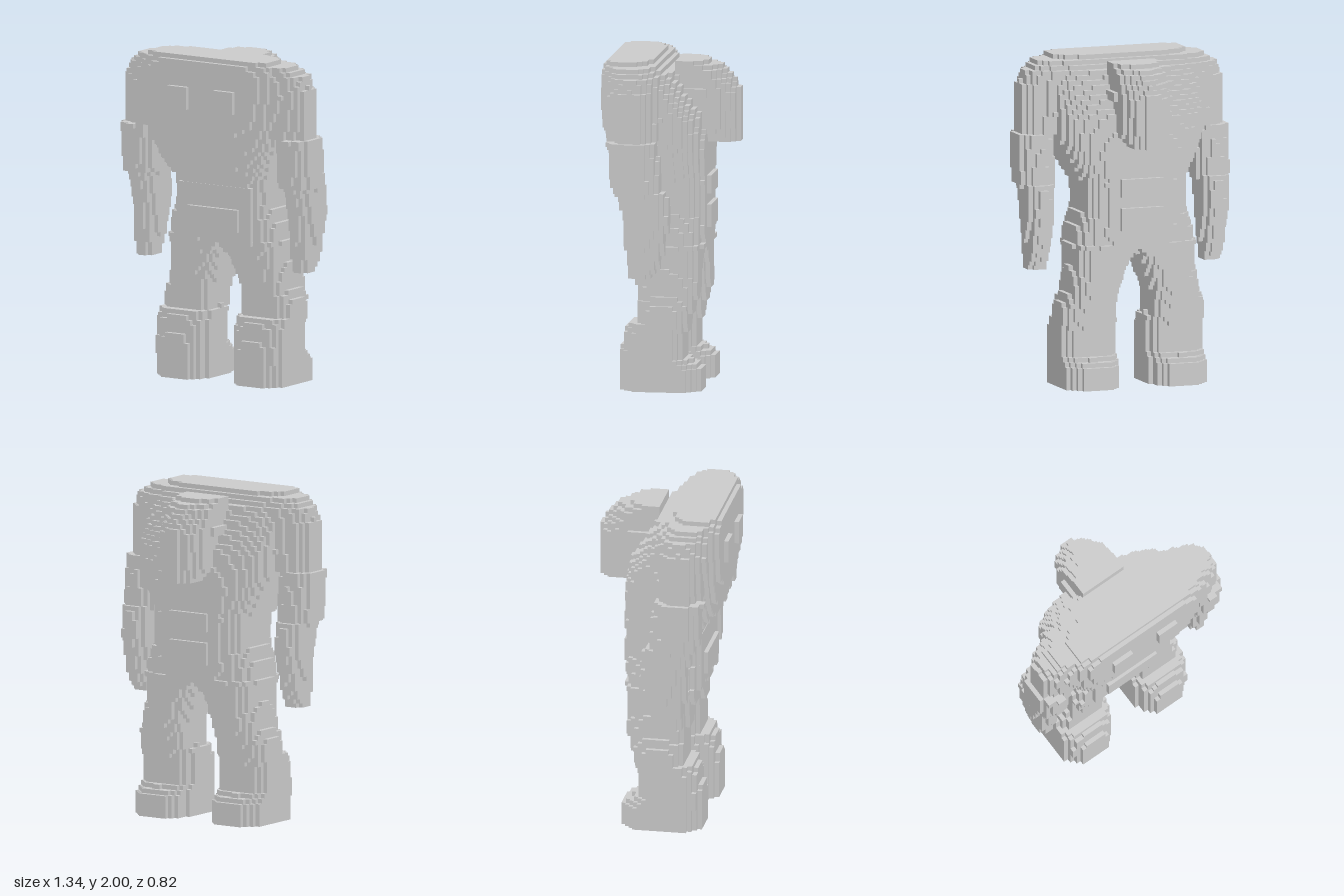
import * as THREE from 'three';

// Cube edge of the blocky style
const U = 2 / 73;
const { lerp, clamp } = THREE.MathUtils;

// Cross-section [y, half width, back z, front z] of a stack of rows at height y
function sectionAt(rows, y) {
  const i = rows.findIndex((row) => row[0] >= y);
  if (i < 1) return null;
  const [a, b] = [rows[i - 1], rows[i]];
  return a.map((v, k) => lerp(v, b[k], (y - a[0]) / (b[0] - a[0])));
}

// Solid with rounded sections, front and back rounded separately:
// 2 is an ellipse, higher is squarer
function solid(rows, frontRoundness, backRoundness, centreX = () => 0) {
  return (x, y, z) => {
    const s = sectionAt(rows, y);
    if (!s) return false;
    const [, half, back, front] = s;
    const dx = Math.abs(x - centreX(y)) / half;
    const dz = (2 * z - back - front) / (front - back);
    const roundness = dz > 0 ? frontRoundness : backRoundness;
    return dx ** roundness + Math.abs(dz) ** roundness <= 1;
  };
}

const key = (cell) => cell.join();

// Claims the free grid cubes that lie inside a solid
function fillCells(inside, filled) {
  const cells = [];
  for (let i = -24; i <= 24; i++) {
    for (let j = 0; j < 73; j++) {
      for (let k = -15; k < 15; k++) {
        const cell = [i, j, k];
        if (filled.has(key(cell)) || !inside(i * U, (j + 0.5) * U, (k + 0.5) * U)) continue;
        filled.add(key(cell));
        cells.push(cell);
      }
    }
  }
  return cells;
}

// Outer faces of a set of cubes
function cubeGeometry(cells, filled) {
  const position = [], normal = [];
  for (const cell of cells) {
    const centre = [cell[0] * U, (cell[1] + 0.5) * U, (cell[2] + 0.5) * U];
    for (let axis = 0; axis < 3; axis++) {
      for (const sign of [-1, 1]) {
        const next = [...cell];
        next[axis] += sign;
        if (filled.has(key(next))) continue;
        let a = (axis + 1) % 3, b = (axis + 2) % 3;
        if (sign < 0) [a, b] = [b, a];
        for (const [i, j] of [[-1, -1], [1, -1], [1, 1], [-1, -1], [1, 1], [-1, 1]]) {
          const v = [...centre], n = [0, 0, 0];
          v[axis] += sign * U / 2;
          v[a] += i * U / 2;
          v[b] += j * U / 2;
          n[axis] = sign;
          position.push(...v);
          normal.push(...n);
        }
      }
    }
  }
  const geometry = new THREE.BufferGeometry();
  geometry.setAttribute('position', new THREE.Float32BufferAttribute(position, 3));
  geometry.setAttribute('normal', new THREE.Float32BufferAttribute(normal, 3));
  return geometry;
}

export function createModel() {
  const group = new THREE.Group();
  const material = new THREE.MeshStandardMaterial({ color: 0xcccccc });
  const filled = new Set();
  const pieces = [];

  const addMesh = (name, geometry) => {
    const mesh = new THREE.Mesh(geometry, material);
    mesh.name = name;
    group.add(mesh);
    return mesh;
  };
  const addPart = (name, inside) => pieces.push({ name, cells: fillCells(inside, filled) });
  const addPair = (name, inside) => {
    addPart('left' + name, inside);
    addPart('right' + name, (x, y, z) => inside(-x, y, z));
  };
  const addPlate = (name, x, y, z, width, height, depth) =>
    addMesh(name, new THREE.BoxGeometry(width, height, depth)).position.set(x, y, z);

  // Trunk
  addPart('chest', solid([
    [1.25, 0.32, -0.23, 0.26], [1.32, 0.36, -0.23, 0.315], [1.42, 0.41, -0.23, 0.345], [1.5, 0.45, -0.22, 0.365],
    [1.65, 0.47, -0.19, 0.385], [1.9, 0.48, -0.03, 0.39], [1.96, 0.45, 0.06, 0.375], [2, 0.41, 0.09, 0.35],
  ], 5.5, 3));
  addPart('shoulders', solid([
    [1.53, 0.65, 0, 0.33], [1.8, 0.65, 0, 0.36], [1.9, 0.61, 0, 0.36], [1.985, 0.51, 0.06, 0.35],
  ], 2.8, 2.8));
  addPart('backHump', solid([
    [1.48, 0.1, -0.41, -0.25], [1.57, 0.16, -0.42, -0.01], [1.78, 0.165, -0.42, -0.01],
    [1.92, 0.16, -0.32, -0.02], [1.98, 0.14, -0.18, -0.02],
  ], 40, 1.6));
  const pelvis = solid([
    [0.8, 0.38, -0.2, 0.21], [0.95, 0.37, -0.22, 0.25], [1.1, 0.32, -0.22, 0.25], [1.27, 0.32, -0.23, 0.26],
  ], 4, 3.4);
  const underArch = (x, y) => Math.abs(x) < (0.85 - y) * 0.8;
  addPart('pelvis', (x, y, z) => pelvis(x, y, z) && !underArch(x, y));

  // Limbs
  addPair('Arm', solid([
    [0.72, 0.05, 0.05, 0.18], [0.8, 0.065, 0, 0.2], [1.05, 0.08, -0.06, 0.22],
    [1.2, 0.09, -0.05, 0.25], [1.25, 0.113, 0, 0.29], [1.54, 0.113, 0.02, 0.32],
  ], 2.2, 2.2, () => 0.56));
  const legCentre = (y) => 0.28 - 0.08 * clamp((y - 0.5) / 0.3, 0, 1);
  addPair('Leg', solid([
    [0.4, 0.172, -0.14, 0.17], [0.51, 0.165, -0.16, 0.17],
    [0.58, 0.15, -0.19, 0.17], [0.7, 0.16, -0.19, 0.19], [0.88, 0.19, -0.21, 0.24],
  ], 3.4, 3, legCentre));
  addPair('Boot', solid([
    [0, 0.18, -0.22, 0.275], [0.13, 0.18, -0.22, 0.275], [0.2, 0.18, -0.12, 0.275],
    [0.34, 0.18, -0.12, 0.25], [0.42, 0.18, -0.14, 0.22],
  ], 2.8, 2.8, () => 0.28));

  for (const { name, cells } of pieces) addMesh(name, cubeGeometry(cells, filled));

  // Raised plates
  addPlate('leftEye', 0.165, 1.745, 0.356, 0.137, 0.137, 0.11);
  addPlate('rightEye', -0.165, 1.745, 0.356, 0.137, 0.137, 0.11);
  addPlate('bellyPlate', 0, 1.04, 0.175, 0.52, 0.33, 0.15);
  addPlate('beltBuckle', 0, 1, 0.21, 0.36, 0.137, 0.13);
  addPlate('lowerBackPlate', 0, 1.035, -0.18, 0.27, 0.137, 0.13);
  addPlate('upperBackPlate', 0, 1.225, -0.18, 0.27, 0.11, 0.13);
  return group;
}
